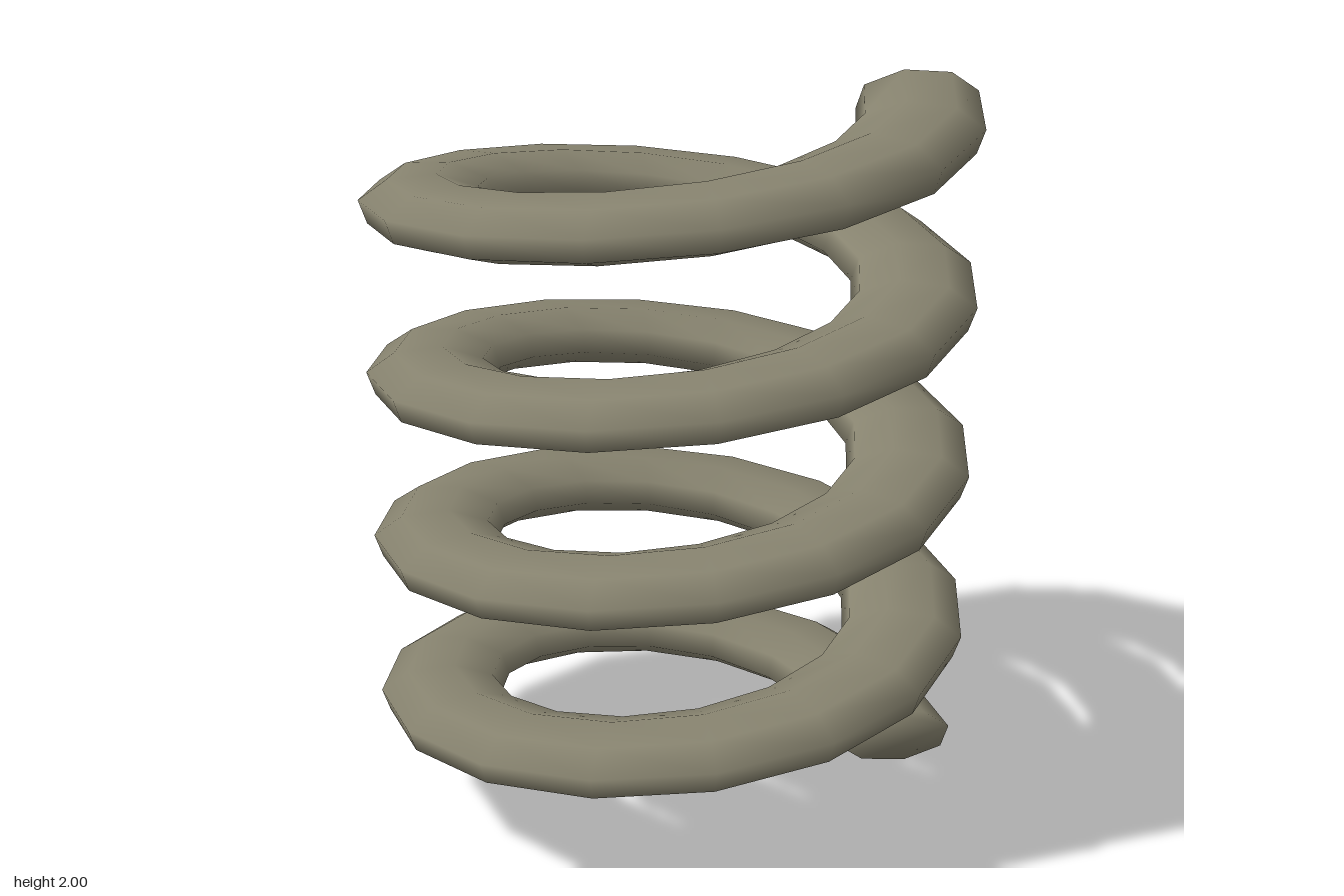
import * as THREE from 'three';

const TURNS = 4, STEPS = 16, SIDES = 8;          // coils, segments per coil, sides of the wire
const RADIUS = 0.637, PITCH = 0.46;              // helix
const WIRE_R = 0.166, WIRE_Y = 0.081;            // half width and half height of the flattened wire
const TWIST = THREE.MathUtils.degToRad(13);      // roll of the wire section

// Sweep an upright elliptical section around a rising helix, closed at both ends
function coilGeometry() {
  const pos = [], idx = [], n = TURNS * STEPS;
  for (let i = 0; i <= n; i++) {
    const a = (i / STEPS) * Math.PI * 2;
    const y = 1 + (i / n - 0.5) * TURNS * PITCH;
    for (let j = 0; j < SIDES; j++) {
      const b = TWIST + (j / SIDES) * Math.PI * 2;
      const r = RADIUS + WIRE_R * Math.cos(b);
      pos.push(r * Math.cos(a), y + WIRE_Y * Math.sin(b), -r * Math.sin(a) * 0.99);
    }
  }
  // Wire wall
  for (let i = 0; i < n; i++) {
    for (let j = 0; j < SIDES; j++) {
      const k = (j + 1) % SIDES;
      const a = i * SIDES + j, b = a + SIDES, c = i * SIDES + k, d = c + SIDES;
      idx.push(a, b, c, b, d, c);
    }
  }
  // End caps, sharing the wall's vertices for soft ends
  const e = n * SIDES;
  for (let j = 1; j < SIDES - 1; j++) {
    idx.push(0, j, j + 1);
    idx.push(e, e + j + 1, e + j);
  }
  const geo = new THREE.BufferGeometry();
  geo.setAttribute('position', new THREE.Float32BufferAttribute(pos, 3));
  geo.setIndex(idx);
  geo.computeVertexNormals();
  return geo;
}

export function createModel() {
  const group = new THREE.Group();
  group.name = 'spring';
  const coil = new THREE.Mesh(coilGeometry(), new THREE.MeshStandardMaterial({ color: 0x87836f }));
  coil.name = 'springCoil';
  group.add(coil);
  return group;
}
